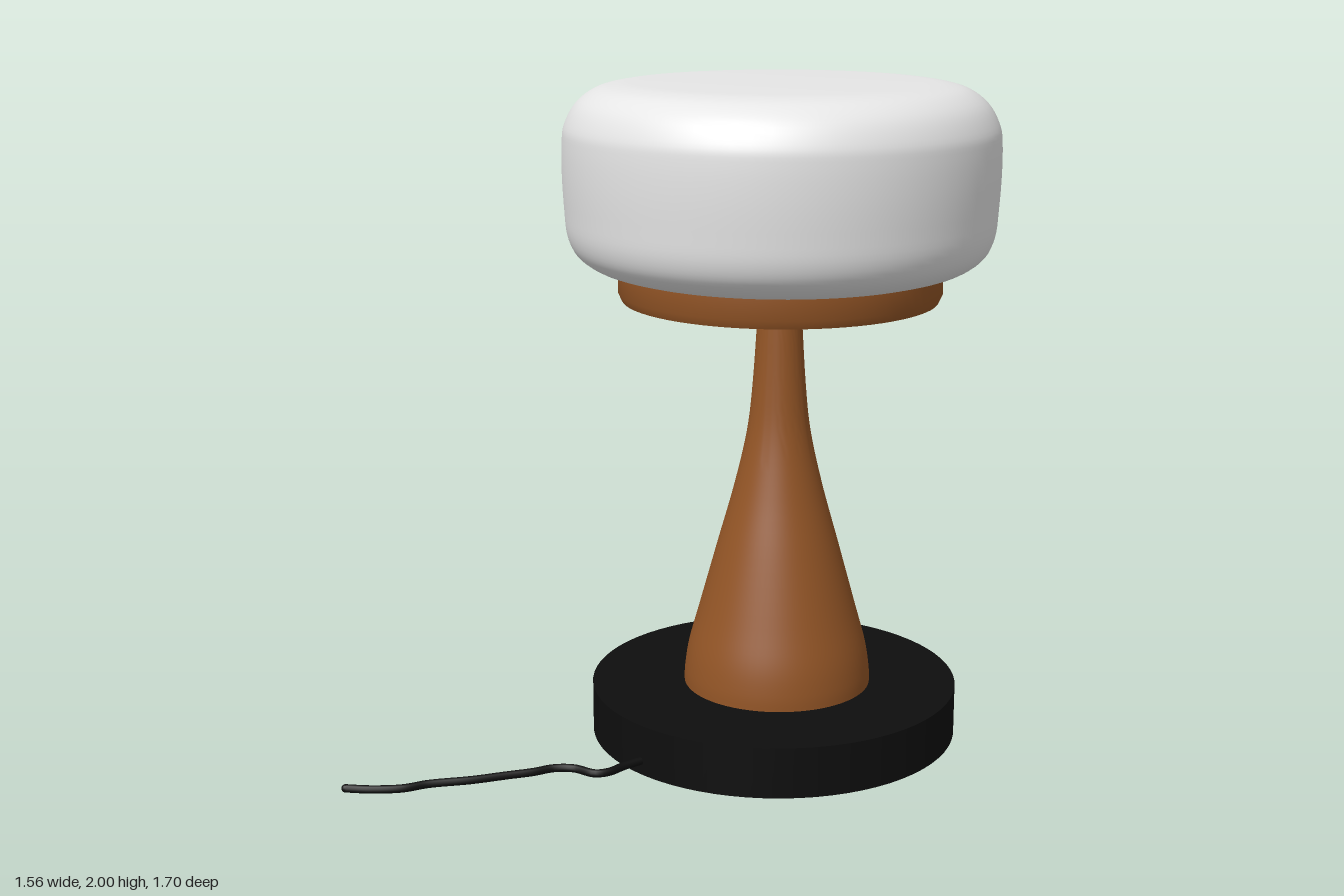
import * as THREE from 'three';
import { toCreasedNormals } from 'three/addons/utils/BufferGeometryUtils.js';

const mat = (name, color) => {
  const m = new THREE.MeshStandardMaterial({ color });
  m.name = name;
  return m;
};

// Turned solid from [radius, height] pairs, listed from bottom to top
const turned = (points, crease = 0.6) => {
  const g = new THREE.LatheGeometry(points.map(([r, y]) => new THREE.Vector2(r, y)), 72);
  return toCreasedNormals(g, crease);
};

// Smooth run of points through a few profile points
const smooth = (points, n) =>
  new THREE.SplineCurve(points.map(([r, y]) => new THREE.Vector2(r, y)))
    .getPoints(n).map((p) => [p.x, p.y]);

export function createModel() {
  const white = mat('opal white', 0xe6e6e6);
  const wood = mat('warm brown wood', 0x935526);
  const black = mat('matte black', 0x0e0e0e);

  const model = new THREE.Group();
  model.name = 'tableLamp';
  const add = (name, geometry, material, x = 0, y = 0, z = 0) => {
    const m = new THREE.Mesh(geometry, material);
    m.name = name;
    m.position.set(x, y, z);
    model.add(m);
  };
  const cx = 0.136, cz = -0.209;

  // Disc foot, set slightly off the stem axis
  add('base', new THREE.CylinderGeometry(0.564, 0.564, 0.145, 72), black, 0.125, 0.0795, cz);
  model.children[0].position.y = 0.0775;
  model.children[0].scale.y = 0.155 / 0.145;

  // Flared stem with a small collar at its top
  add('stem', turned([
    ...smooth([[0.288, 0.15], [0.286, 0.2], [0.273, 0.28], [0.24, 0.4], [0.185, 0.6],
      [0.135, 0.78], [0.097, 0.95], [0.08, 1.1], [0.067, 1.3]], 40),
    [0.067, 1.32], [0.09, 1.335], [0.1, 1.36],
  ]), wood, cx, 0, cz);

  // Shade holder
  add('shadeHolder', turned([
    [0, 1.342], [0.09, 1.343], [0.472, 1.361], [0.483, 1.385], [0.483, 1.447], [0, 1.447],
  ]), wood, cx, 0, cz);

  // Soft drum shade
  add('shade', turned([
    [0, 1.446], [0.46, 1.446],
    ...smooth([[0.49, 1.448], [0.555, 1.468], [0.605, 1.505], [0.63, 1.56], [0.638, 1.64],
      [0.643, 1.74], [0.642, 1.83], [0.634, 1.88], [0.6, 1.94], [0.545, 1.98], [0.48, 1.996],
      [0.42, 2]], 48),
    [0, 2],
  ]), white, cx, 0, cz);

  // Power cable lying in front of the base, with a rounded free end
  const path = [[-0.77, 0.835], [-0.7, 0.812], [-0.62, 0.768], [-0.57, 0.713], [-0.47, 0.638],
    [-0.39, 0.565], [-0.336, 0.517], [-0.29, 0.465], [-0.237, 0.443], [-0.165, 0.45],
    [-0.133, 0.424], [-0.112, 0.37], [-0.07, 0.29]];
  const curve = new THREE.CatmullRomCurve3(path.map(([x, z]) => new THREE.Vector3(x, 0.042, z)));
  add('cable', new THREE.TubeGeometry(curve, 90, 0.012, 10), black);
  add('cableEnd', new THREE.SphereGeometry(0.012, 12, 8), black, -0.77, 0.042, 0.835);

  return model;
}
